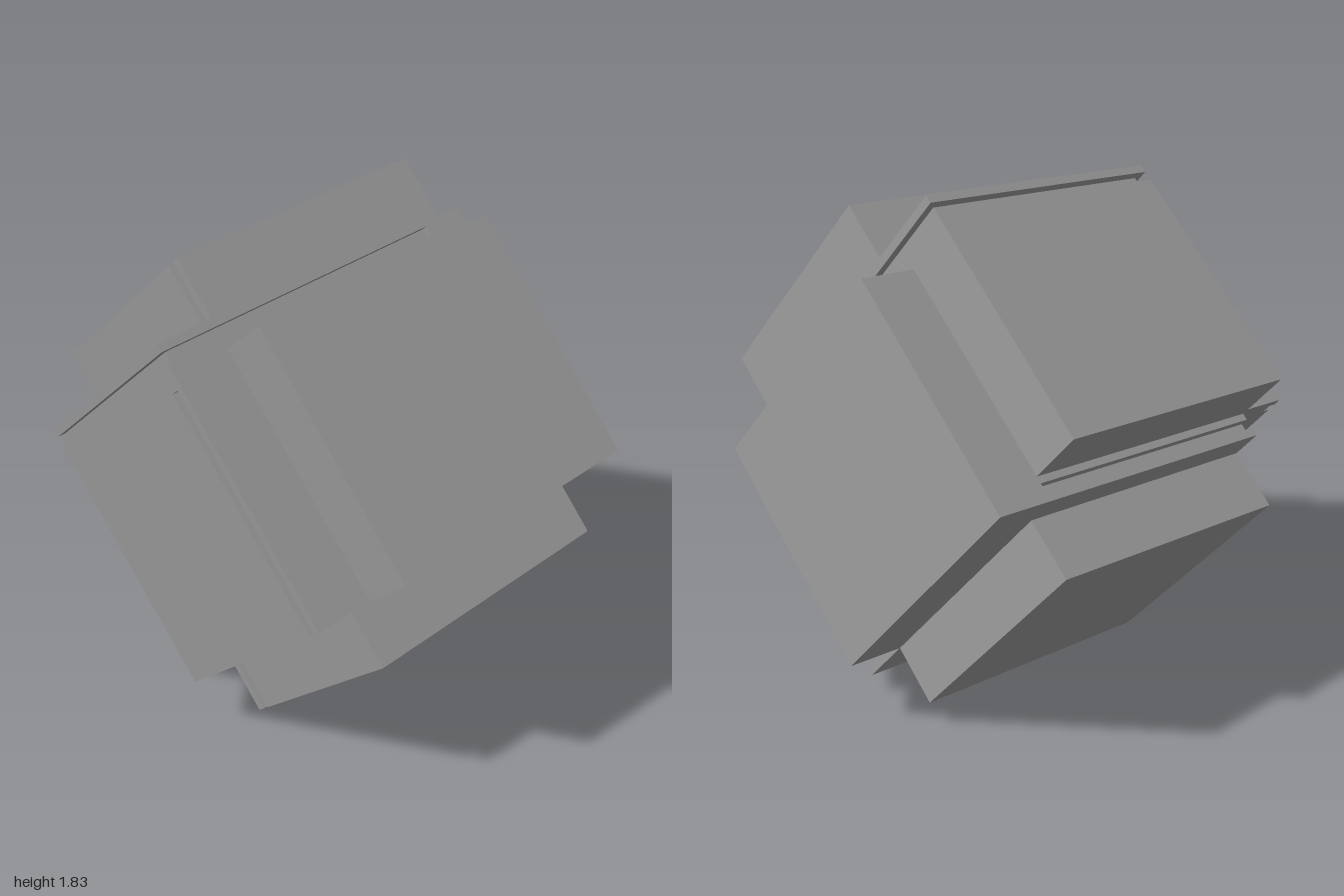
import * as THREE from 'three';

export function createModel() {
  const model = new THREE.Group();
  const cube = new THREE.Group();
  cube.name = 'interlockingCube';
  model.add(cube);
  const material = new THREE.MeshStandardMaterial({ color: 0x999999, flatShading: true });

  // Box given by its ranges along the cube's own three axes
  const box = (name, [x0, x1], [y0, y1], [z0, z1]) => {
    const geometry = new THREE.BoxGeometry(x1 - x0, y1 - y0, z1 - z0);
    geometry.translate((x0 + x1) / 2, (y0 + y1) / 2, (z0 + z1) / 2);
    const mesh = new THREE.Mesh(geometry, material);
    mesh.name = name;
    cube.add(mesh);
  };

  const H = 0.51;       // half size of the core
  const T = 0.728;      // outer level of the raised blocks
  const G = 0.445;      // inner side of the grooves
  const L = 0.48;       // outer side of the grooves, and their floor on the core
  const D = T - 0.03;   // groove floor on the raised blocks
  const full = [-H, H];

  // Core with a thin plate on its front and back, set off by shallow grooves
  box('core', full, full, [-G, G]);
  box('frontGrooveFloor', [-D, L], [-L, L], [G, L]);
  box('frontGrooveEnd', [L, H], [-H, -L], [G, L]);
  box('frontPlate', [-T, H], [-H, G], [L, H]);
  box('frontPlateEnd', [G, H], [G, L], [L, H]);
  box('backGrooveFloor', full, [-H, L], [-L, -G]);
  box('backPlate', full, full, [-H, -L]);

  // Top block and the front plate's lip beside it
  box('topBlock', full, [H, T], [-0.42, G]);
  box('topGrooveFloor', [-L, L], [L, D], [G, L]);
  box('topLip', full, [L, T], [L, H]);

  // Bottom block and the back plate's lip beside it
  box('bottomBlock', full, [-T, -H], [-G, 0.38]);
  box('bottomGrooveFloor', [-L, L], [-D, -H], [-L, -G]);
  box('bottomLip', full, [-T, -H], [-H, -L]);

  // Front and back blocks
  box('frontBlock', full, [-H, 0.4], [H, T]);
  box('backBlock', full, [-H, 0.39], [-T, -H]);

  // Block on the right side, with a groove along its underside
  box('rightBlock', [H, T], full, [-G, 0.38]);
  box('rightGrooveFloor', [H, D], [-L, H], [-L, -G]);
  box('rightGrooveEnd', [D, T], full, [-L, -G]);
  box('rightLip', [H, T], full, [-H, -L]);

  // Block on the left side, with grooves along two edges
  box('leftBlock', [-T, -H], [-H, G], [-0.41, G]);
  box('leftGrooveEnd', [-T, -D], [0.355, G], [G, L]);
  box('leftGrooveFloor', [-D, -H], [G, L], [-0.41, G]);
  box('leftLip', [-T, -H], [L, H], [-0.41, H]);

  // Tilt the whole cube so that it rests on an edge
  const a = new THREE.Vector3(0.56, 0.069, -0.825).normalize();
  const b = new THREE.Vector3(-0.573, 0.75, -0.33);
  b.addScaledVector(a, -a.dot(b)).normalize();
  const c = new THREE.Vector3().crossVectors(a, b);
  cube.quaternion.setFromRotationMatrix(new THREE.Matrix4().makeBasis(a, b, c));

  // Rest on the ground, centred
  model.updateMatrixWorld(true);
  const bounds = new THREE.Box3().setFromObject(model, true);
  const middle = bounds.getCenter(new THREE.Vector3());
  cube.position.set(-middle.x, -bounds.min.y, -middle.z);
  return model;
}
